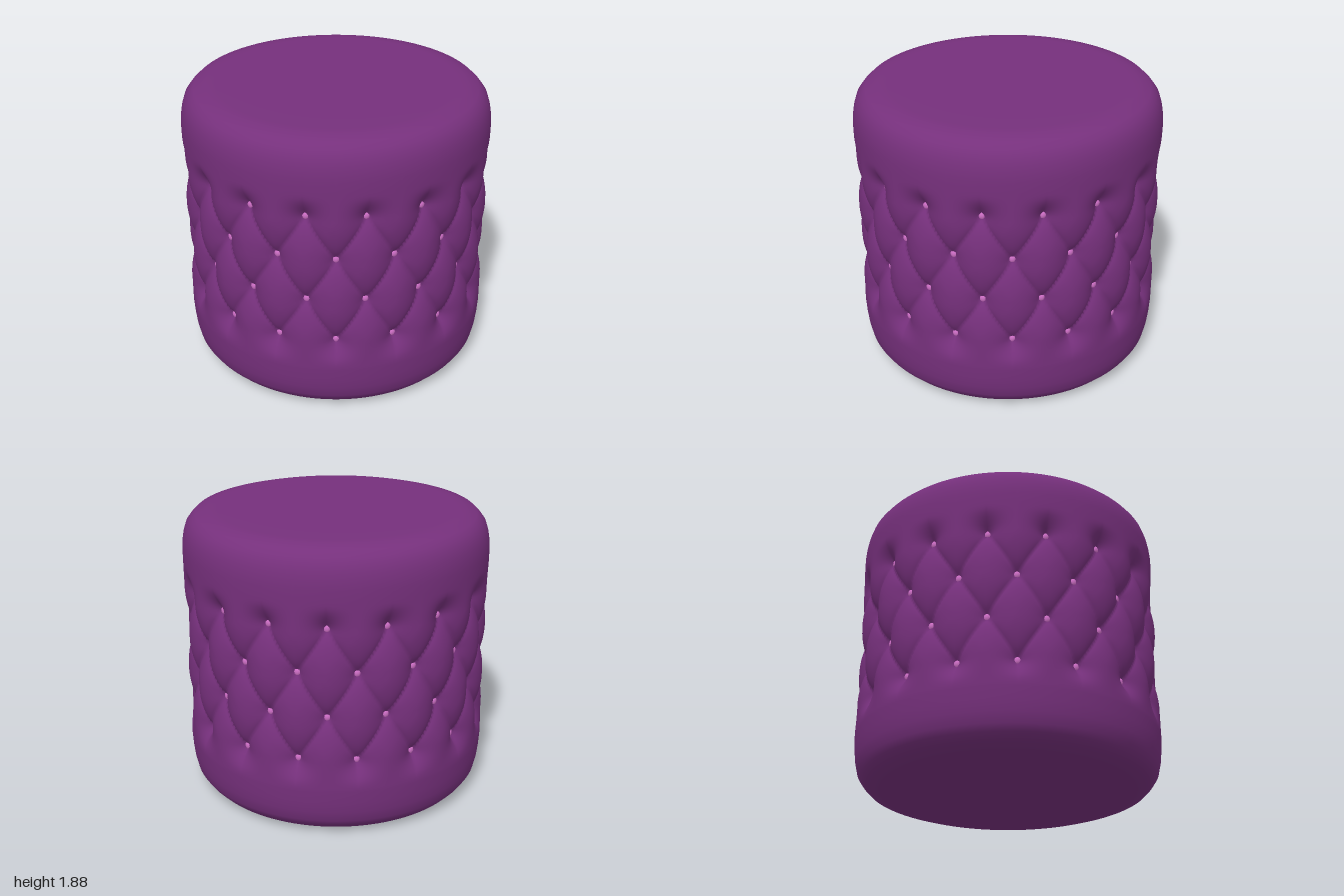
import * as THREE from 'three';

const COUNT = 16;               // buttons per row
const ROWS = 4;
const Y0 = 0.52, ROW_H = 0.287; // lowest button row and row spacing
const STEP = 24;                // mesh columns per button
const smooth = (t) => { t = Math.min(1, Math.max(0, t)); return t * t * (3 - 2 * t); };

// Depth of the diamond tufting; u counts buttons around, v counts rows up
function tuftDepth(u, v) {
  const vc = Math.min(ROWS - 1, Math.max(0, v));
  const over = Math.abs(v - vc);
  const a = u - 0.5 + vc / 2, b = u - 0.5 - vc / 2;
  const fa = a - Math.round(a), fb = b - Math.round(b);
  const pillow = Math.sqrt(Math.abs(Math.sin(Math.PI * a) * Math.sin(Math.PI * b)));
  const fold = 0.05 * (1 - pillow) * (1 - smooth(over / 0.55));
  const d = Math.hypot((fa + fb) / 2 * 0.36, (Math.abs(fa - fb) + over) * ROW_H);
  return fold + 0.045 * Math.exp(-d / 0.045);
}

function cushionGeometry() {
  // Profile from the base centre to the top centre: [radius, height]
  const profile = [[0, 0], [0.5, 0], [0.77, 0], [0.83, 0.007], [0.905, 0.033], [0.94, 0.07],
    [0.966, 0.11], [0.982, 0.18], [0.99, 0.25]];
  for (let k = -8; k <= (ROWS - 1) * 12 + 8; k++) profile.push([0.995, Y0 + k / 12 * ROW_H]);
  profile.push([0.995, 1.64], [0.99, 1.69], [0.982, 1.735], [0.966, 1.785], [0.94, 1.82],
    [0.905, 1.853], [0.83, 1.873], [0.77, 1.875], [0.5, 1.875], [0, 1.875]);

  const n = COUNT * STEP, pos = [], index = [], radii = [];
  profile.forEach(([r, y]) => {
    const tufted = y > 0.3 && y < 1.62;
    for (let i = 0; i < n; i++) {
      const t = i / n * Math.PI * 2;
      const rr = tufted ? r - tuftDepth(i / STEP, (y - Y0) / ROW_H) : r;
      radii.push(rr);
      pos.push(rr * Math.sin(t), y, rr * Math.cos(t));
    }
  });
  for (let j = 0; j < profile.length - 1; j++) {
    for (let i = 0; i < n; i++) {
      const k = (i + 1) % n;
      const a = j * n + i, b = j * n + k, c = a + n, d = b + n;
      if (j === 0) index.push(a, d, c);
      else if (j === profile.length - 2) index.push(a, b, c);
      // split each quad along the fold direction
      else if (Math.abs(radii[a] - radii[d]) <= Math.abs(radii[b] - radii[c])) index.push(a, b, d, a, d, c);
      else index.push(a, b, c, b, d, c);
    }
  }
  const g = new THREE.BufferGeometry();
  g.setAttribute('position', new THREE.Float32BufferAttribute(pos, 3));
  g.setIndex(index);
  g.computeVertexNormals();
  return g;
}

export function createModel() {
  const group = new THREE.Group();
  group.name = 'tuftedPouf';

  const cushion = new THREE.Mesh(cushionGeometry(), new THREE.MeshStandardMaterial({ color: 0x76307c }));
  cushion.name = 'cushion';
  group.add(cushion);

  // Buttons sunk in the dimples, staggered row by row
  const buttons = new THREE.Group();
  buttons.name = 'buttons';
  const buttonGeo = new THREE.SphereGeometry(1, 10, 8).scale(0.022, 0.027, 0.016);
  const buttonMat = new THREE.MeshStandardMaterial({ color: 0xd070c8 });
  for (let row = 0; row < ROWS; row++) {
    for (let i = 0; i < COUNT; i++) {
      const t = (i + (row % 2 ? 0 : 0.5)) / COUNT * Math.PI * 2;
      const button = new THREE.Mesh(buttonGeo, buttonMat);
      button.name = 'button';
      button.position.set(0.913 * Math.sin(t), Y0 + row * ROW_H, 0.913 * Math.cos(t));
      button.rotation.y = t;
      buttons.add(button);
    }
  }
  group.add(buttons);
  return group;
}
